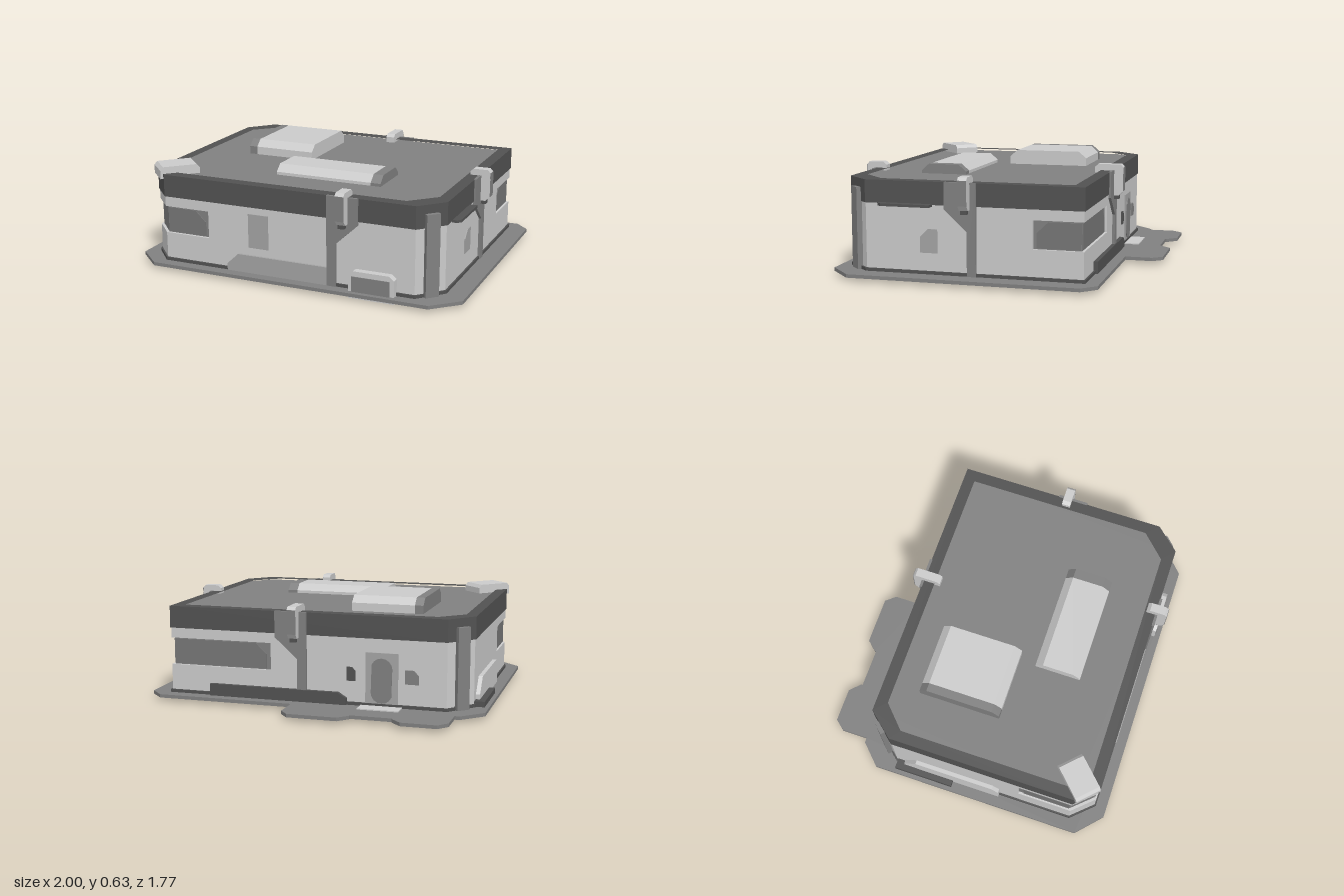
import * as THREE from 'three';

const mat = (name, color) => {
  const m = new THREE.MeshStandardMaterial({ color });
  m.name = name;
  return m;
};

export function createModel() {
  const root = new THREE.Group();
  const light = mat('light wall', 0xcbcbcb);
  const pale = mat('pale panel', 0xa4a4a4);
  const mid = mat('mid grey', 0x808080);
  const glass = mat('window grey', 0x767676);
  const dark = mat('dark trim', 0x525252);

  const add = (name, geo, material, parent = root) => {
    const m = new THREE.Mesh(geo, material);
    m.name = name;
    parent.add(m);
    return m;
  };
  const shapeOf = (pts) => new THREE.Shape(pts.map(([a, b]) => new THREE.Vector2(a, b)));
  const extrude = (shape, depth) => new THREE.ExtrudeGeometry(shape, { depth, bevelEnabled: false });

  // Horizontal slab from an x,z outline
  const slab = (name, material, pts, y0, y1, hole) => {
    const shape = shapeOf(pts.map(([x, z]) => [x, -z]));
    if (hole) shape.holes.push(shapeOf(hole.map(([x, z]) => [x, -z])));
    const g = extrude(shape, y1 - y0).rotateX(-Math.PI / 2).translate(0, y0, 0);
    return add(name, g, material);
  };

  // Wall sides: rotation, sign of the along-wall coordinate, wall plane distance
  const sides = {
    front: { rot: 0, s: 1, d: 0.805 },
    back: { rot: Math.PI, s: -1, d: 0.585 },
    right: { rot: Math.PI / 2, s: -1, d: 0.875 },
    left: { rot: -Math.PI / 2, s: 1, d: 0.915 },
  };
  // Upright plate on a wall from an outline of (x or z, y)
  const plate = (name, material, side, pts, depth, out = 0) => {
    const { rot, s, d } = sides[side];
    const g = extrude(shapeOf(pts.map(([u, y]) => [u * s, y])), depth);
    return add(name, g.translate(0, 0, d + out).rotateY(rot), material);
  };
  const rect = (a, b, y0, y1) => [[a, y0], [b, y0], [b, y1], [a, y1]];

  // Ground plate with landing pads
  slab('groundPlate', mid, [
    [-1, -0.55], [-0.88, -0.67], [-0.85, -0.67], [-0.85, -0.83], [-0.8, -0.89], [-0.595, -0.89],
    [-0.535, -0.83], [-0.535, -0.82], [-0.295, -0.82], [-0.295, -0.83], [-0.24, -0.89], [0.05, -0.89],
    [0.1, -0.83], [0.1, -0.67], [0.92, -0.67], [1, -0.59], [1, 0.74], [0.85, 0.88], [-0.85, 0.88], [-1, 0.74],
  ], 0.02, 0.04);

  // Building footprint grown by e
  const footprint = (e) => [
    [-0.92 - e, -0.44 - e * 0.4], [-0.79 - e * 0.4, -0.59 - e], [0.88 + e, -0.59 - e],
    [0.88 + e, 0.67 + e * 0.4], [0.75 + e * 0.4, 0.81 + e], [-0.8 - e * 0.4, 0.81 + e], [-0.92 - e, 0.68 + e * 0.4],
  ];
  slab('underside', mid, footprint(-0.03), 0.014, 0.02);
  slab('skirting', dark, footprint(0.005), 0.04, 0.058);

  // Walls in three layers, the middle one notched for two corner windows
  const wall = footprint(-0.005);
  slab('lowerWall', light, wall, 0.04, 0.21);
  slab('upperWall', light, wall, 0.37, 0.435);
  slab('middleWall', light, [
    wall[0], wall[1], [0.25, -0.585], [0.25, -0.55], [0.84, -0.55], [0.84, -0.3], [0.875, -0.3],
    wall[3], wall[4], [-0.515, 0.805], [-0.515, 0.77], [-0.78, 0.77], [-0.88, 0.66], [-0.88, 0.35], [-0.915, 0.35],
  ], 0.21, 0.37);
  slab('cornerWindowBack', mid, [[0.25, -0.57], [0.86, -0.57], [0.86, -0.3], [0.8, -0.3], [0.8, -0.52], [0.25, -0.52]], 0.21, 0.37);
  slab('cornerWindowFront', mid, [
    [-0.515, 0.79], [-0.79, 0.79], [-0.9, 0.67], [-0.9, 0.35], [-0.84, 0.35], [-0.84, 0.65], [-0.76, 0.74], [-0.515, 0.74],
  ], 0.21, 0.37);

  // Window panes with one clipped corner: near edge a, clipped edge b
  const pane = (side, a, b) => {
    const k = Math.sign(a - b) * 0.065;
    plate('windowPane', glass, side, [[a, 0.215], [b, 0.215], [b, 0.3], [b + k, 0.362], [a, 0.362]], 0.005, -0.015);
  };
  pane('front', -0.785, -0.54);
  pane('left', 0.665, 0.38);
  pane('right', -0.565, -0.32);
  pane('back', 0.855, 0.28);

  // Roof band, roof deck
  slab('roofBand', dark, footprint(0), 0.43, 0.56, [
    [-0.855, -0.39], [-0.72, -0.52], [0.81, -0.52], [0.81, 0.6], [0.67, 0.74], [-0.78, 0.74], [-0.855, 0.67],
  ]);
  slab('roofDeck', mid, footprint(-0.02), 0.44, 0.545);

  // Roof units: bevelled profile run along x, with a grey end strip
  const roofUnit = (name, x0, x1, z0, z1, top, strip) => {
    const b = 0.045;
    const part = (n, m, a, c) => {
      const g = extrude(shapeOf([[-z1, 0.54], [-z0, 0.54], [-z0, top - 0.04], [-z0 - b, top], [-z1 + b, top], [-z1, top - 0.04]]), c - a);
      add(n, g.rotateY(Math.PI / 2).translate(a, 0, 0), m);
    };
    const cut = strip < 0 ? x0 - strip : x1 - strip;
    part(name, strip < 0 ? mid : light, x0, cut);
    part(name + 'End', strip < 0 ? light : mid, cut, x1);
  };
  roofUnit('largeRoofUnit', -0.6, -0.175, -0.365, 0.125, 0.633, -0.05);
  roofUnit('smallRoofUnit', -0.225, 0.425, 0.225, 0.5, 0.602, 0.06);

  // Flared pillars and clips over the roof edge
  const pillar = (side, a, b, c) => plate(side + 'Pillar', mid, side,
    [[a, 0.04], [b, 0.04], [b, 0.29], [c, 0.41], [c, 0.562], [a, 0.562]], 0.016);
  pillar('front', 0.235, 0.29, 0.42);
  pillar('right', 0.018, 0.07, 0.2);
  pillar('back', 0.03, 0.085, 0.22);

  const clip = (side, u, inner) => {
    const { rot, s, d } = sides[side];
    const g = new THREE.Group();
    g.name = side + 'RoofClip';
    const w = 0.052;
    const prof = [[inner, 0.54], [inner, 0.58], [inner + 0.02, 0.597], [0.055, 0.597], [0.07, 0.58],
      [0.07, 0.44], [0.045, 0.412], [0, 0.412], [0, 0.54]];
    add('clipBody', extrude(shapeOf(prof), w).rotateY(-Math.PI / 2).translate(w / 2, 0, 0), light, g);
    add('clipFace', new THREE.BoxGeometry(w, 0.14, 0.004).translate(0, 0.51, 0.071), mid, g);
    add('clipFoot', new THREE.BoxGeometry(0.036, 0.03, 0.03).translate(0, 0.405, 0.03), dark, g);
    g.position.set(0, 0, d).applyAxisAngle(new THREE.Vector3(0, 1, 0), rot);
    g.position[rot === 0 || rot === Math.PI ? 'x' : 'z'] = u;
    g.rotation.y = rot;
    root.add(g);
  };
  clip('front', 0.335, -0.055);
  clip('right', 0.078, -0.05);
  clip('back', 0.1, -0.1);

  // Diagonal cap on the front corner
  const cap = extrude(shapeOf([[-0.117, 0.545], [-0.117, 0.58], [-0.1, 0.6], [0.1, 0.6], [0.117, 0.58],
    [0.117, 0.53], [0.06, 0.53], [0.06, 0.545]]), 0.156).translate(0, 0, -0.078);
  const capMesh = add('cornerCap', cap, light);
  capMesh.position.set(-0.793, 0, 0.673);
  capMesh.rotation.y = -Math.PI * 0.75;

  // Pilasters on the two chamfered corners
  for (const [x, z, a] of [[0.815, 0.74, Math.PI / 4], [-0.855, -0.515, -Math.PI * 0.75]]) {
    const p = add('cornerPilaster', new THREE.BoxGeometry(0.08, 0.47, 0.05), mid);
    p.position.set(x, 0.275, z);
    p.rotation.y = a;
  }

  // Front wall details
  plate('frontLowPanel', pale, 'front', [[-0.39, 0.04], [0.235, 0.04], [0.235, 0.145], [-0.32, 0.145], [-0.39, 0.08]], 0.014);
  plate('frontDoor', pale, 'front', rect(-0.255, -0.13, 0.19, 0.39), 0.005);
  plate('ventBox', light, 'front', [[0.375, 0], [0.645, 0], [0.645, 0.135], [0.615, 0.158], [0.405, 0.158], [0.375, 0.135]], 0.042);
  plate('ventFace', mid, 'front', rect(0.395, 0.62, 0.008, 0.128), 0.005, 0.042);

  // Right wall details
  plate('rightHatch', pale, 'right', [[0.345, 0.16], [0.245, 0.16], [0.245, 0.295], [0.3, 0.295], [0.345, 0.25]], 0.006);
  slab('rightAwning', dark, [[0.87, 0.275], [0.925, 0.275], [0.925, 0.56], [0.905, 0.585], [0.87, 0.585]], 0.42, 0.435);

  // Back wall details: kerb, doorway, small plates
  plate('backKerb', dark, 'back', [[-0.21, 0.04], [0.625, 0.04], [0.625, 0.11], [-0.16, 0.11], [-0.21, 0.08]], 0.024);
  plate('doorFrame', pale, 'back', rect(-0.51, -0.32, 0.04, 0.35), 0.006);
  const oval = Array.from({ length: 16 }, (_, i) => {
    const a = (i / 16) * Math.PI * 2;
    return [-0.415 + 0.062 * Math.cos(a), 0.19 + 0.06 * Math.sin(a) + (Math.sin(a) > 0 ? 0.07 : -0.07)];
  });
  plate('backDoor', mid, 'back', oval, 0.005, 0.006);
  plate('doorStep', light, 'back', rect(-0.535, -0.295, 0.04, 0.046), 0.1);
  plate('doorPlateLeft', dark, 'back', [[-0.21, 0.18], [-0.26, 0.18], [-0.26, 0.24], [-0.24, 0.26], [-0.21, 0.26]], 0.008);
  plate('doorPlateRight', mid, 'back', [[-0.55, 0.18], [-0.63, 0.18], [-0.63, 0.23], [-0.6, 0.26], [-0.55, 0.26]], 0.008);

  // Left wall details
  plate('leftLowPanel', light, 'left', [[-0.38, 0.04], [0.23, 0.04], [0.23, 0.15], [0.19, 0.19], [-0.3, 0.19], [-0.38, 0.1]], 0.024);
  plate('leftKerb', dark, 'left', rect(-0.43, -0.065, 0.04, 0.072), 0.06);

  return root;
}
